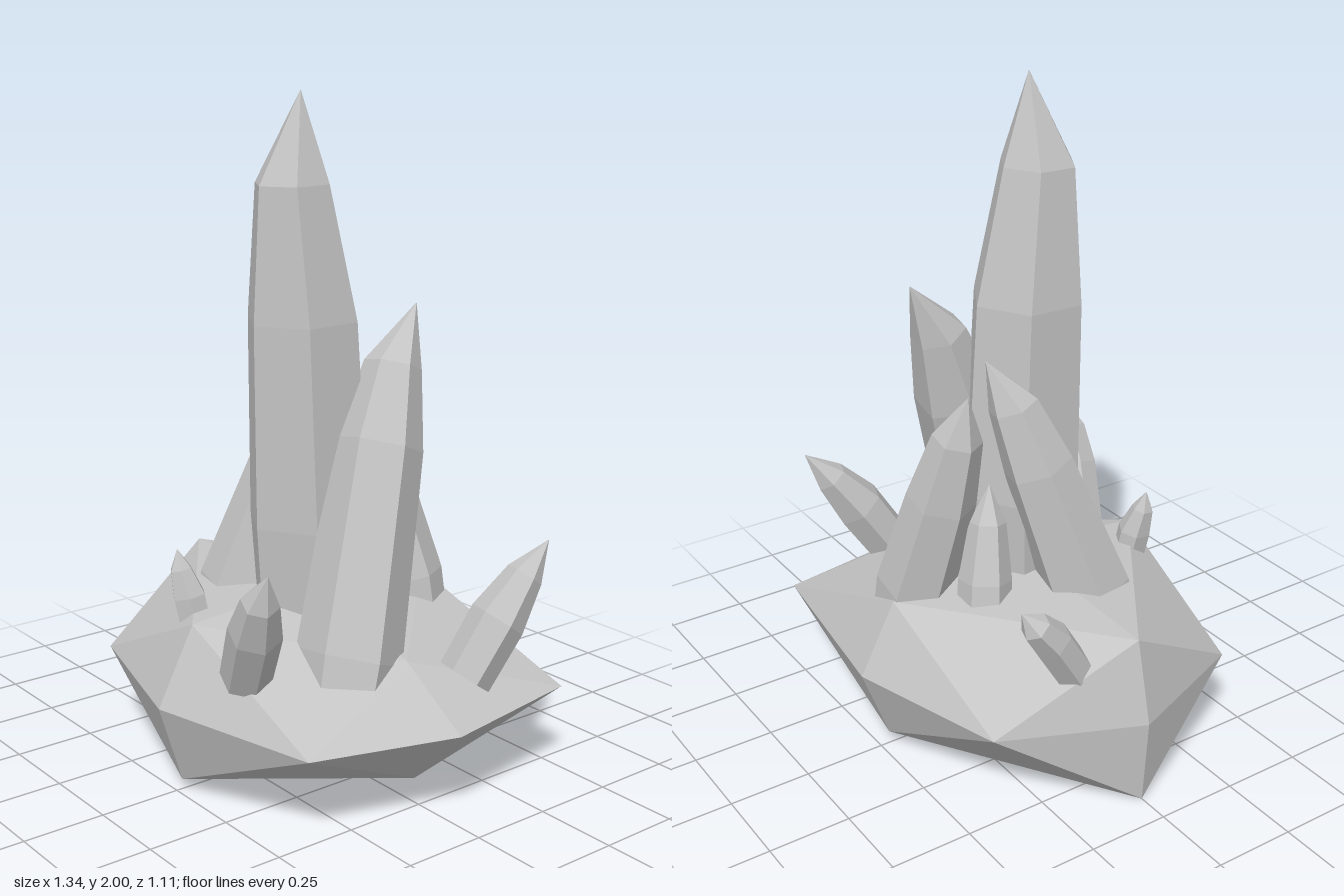
import * as THREE from 'three';

const grey = new THREE.MeshStandardMaterial({ color: 0xc4c4c4, flatShading: true, side: THREE.DoubleSide });
grey.name = 'stone grey';

function meshFrom(points, name) {
  const g = new THREE.BufferGeometry().setFromPoints(points);
  g.computeVertexNormals();
  const mesh = new THREE.Mesh(g, grey);
  mesh.name = name;
  return mesh;
}

// Rough boulder: an octahedron split once, open underneath
function rockBase() {
  const V = (x, y, z) => new THREE.Vector3(x, y, z);
  const rim = [V(0.67, 0.27, 0), V(0.54, 0.27, 0.43), V(0, 0.27, 0.555), V(-0.51, 0.27, 0.41),
    V(-0.67, 0.27, 0), V(-0.49, 0.27, -0.41), V(0, 0.27, -0.555), V(0.59, 0.27, -0.48)];
  const upper = [V(0.44, 0.42, 0), V(0, 0.5, 0.435), V(-0.61, 0.52, 0), V(0, 0.49, -0.44)];
  const lower = [V(0.48, 0.075, 0), V(0, 0.03, 0.48), V(-0.65, 0, 0), V(0, 0.04, -0.47)];
  const apex = V(0, 0.54, 0);
  const pts = [];
  for (let i = 0; i < 4; i++) {
    const j = (i + 1) % 4;
    const a = rim[2 * i], d = rim[2 * i + 1], b = rim[2 * j];
    const u = upper[i], v = upper[j], l = lower[i], m = lower[j];
    pts.push(apex, v, u, u, d, a, u, v, d, v, b, d);
    pts.push(l, a, d, l, d, m, m, d, b);
  }
  return meshFrom(pts, 'rockBase');
}

// Six-sided crystal through [x, y, z, radius] stations, ending in a point
function crystal(name, stations, tip, turn = 0) {
  const top = new THREE.Vector3(...tip);
  const foot = new THREE.Vector3(...stations[0].slice(0, 3));
  const q = new THREE.Quaternion().setFromUnitVectors(
    new THREE.Vector3(0, 1, 0), top.clone().sub(foot).normalize());
  const rings = stations.map(([x, y, z, r]) => Array.from({ length: 6 }, (_, i) => {
    const a = turn + i * Math.PI / 3;
    return new THREE.Vector3(r * Math.sin(a), 0, r * Math.cos(a))
      .applyQuaternion(q).add(new THREE.Vector3(x, y, z));
  }));
  const pts = [];
  for (let i = 0; i < 6; i++) {
    const j = (i + 1) % 6;
    for (let k = 0; k < rings.length - 1; k++) {
      const lo = rings[k], hi = rings[k + 1];
      pts.push(lo[i], lo[j], hi[j], lo[i], hi[j], hi[i]);
    }
    const last = rings[rings.length - 1];
    pts.push(last[i], last[j], top);
    pts.push(foot, rings[0][j], rings[0][i]);
  }
  return meshFrom(pts, name);
}

export function createModel() {
  const model = new THREE.Group();
  model.name = 'crystalCluster';
  model.add(rockBase());

  // Tall central crystal
  model.add(crystal('mainCrystal', [
    [0.01, 0.3, 0.02, 0.16], [0.01, 0.75, 0.02, 0.19],
    [0.005, 1.35, 0.04, 0.172], [0.005, 1.74, 0.075, 0.115]], [0.02, 2, 0.055]));

  // Medium crystals leaning around it
  model.add(crystal('leftLeaningCrystal', [
    [0.32, 0.33, 0.13, 0.15], [0.31, 0.42, 0.105, 0.155],
    [0.22, 1.0, -0.075, 0.13], [0.19, 1.22, -0.15, 0.085]], [0.17, 1.39, -0.255], 0.4));
  model.add(crystal('rightLeaningCrystal', [
    [-0.26, 0.28, 0.13, 0.13], [-0.24, 0.48, 0.09, 0.135],
    [-0.17, 0.9, -0.04, 0.105], [-0.13, 1.09, -0.1, 0.075]], [-0.095, 1.23, -0.17], 0.3));
  model.add(crystal('backCrystal', [
    [0.07, 0.38, -0.34, 0.115], [0.05, 0.5, -0.33, 0.12],
    [-0.03, 0.8, -0.285, 0.105], [-0.085, 1.01, -0.26, 0.075]], [-0.13, 1.15, -0.25], Math.PI / 6));

  // Small crystals near the rim
  model.add(crystal('backLeftShard', [
    [0.52, 0.36, -0.15, 0.08], [0.545, 0.52, -0.25, 0.083],
    [0.56, 0.64, -0.34, 0.055]], [0.575, 0.735, -0.42], 0.2));
  model.add(crystal('backRightShard', [
    [-0.51, 0.42, -0.15, 0.06], [-0.515, 0.55, -0.23, 0.06],
    [-0.52, 0.62, -0.29, 0.045]], [-0.51, 0.67, -0.33], 0.2));
  model.add(crystal('frontRightShard', [
    [-0.07, 0.25, 0.33, 0.05], [-0.12, 0.54, 0.365, 0.052],
    [-0.14, 0.62, 0.38, 0.034]], [-0.15, 0.68, 0.385]));
  model.add(crystal('frontLeftShard', [
    [0.22, 0.4, 0.405, 0.075], [0.315, 0.57, 0.44, 0.078],
    [0.375, 0.68, 0.465, 0.055]], [0.425, 0.77, 0.475], 0.3));
  model.add(crystal('innerBackShard', [
    [-0.15, 0.38, -0.22, 0.085], [-0.13, 0.55, -0.2, 0.08],
    [-0.1, 0.72, -0.17, 0.055]], [-0.08, 0.83, -0.15], 0.5));

  return model;
}
